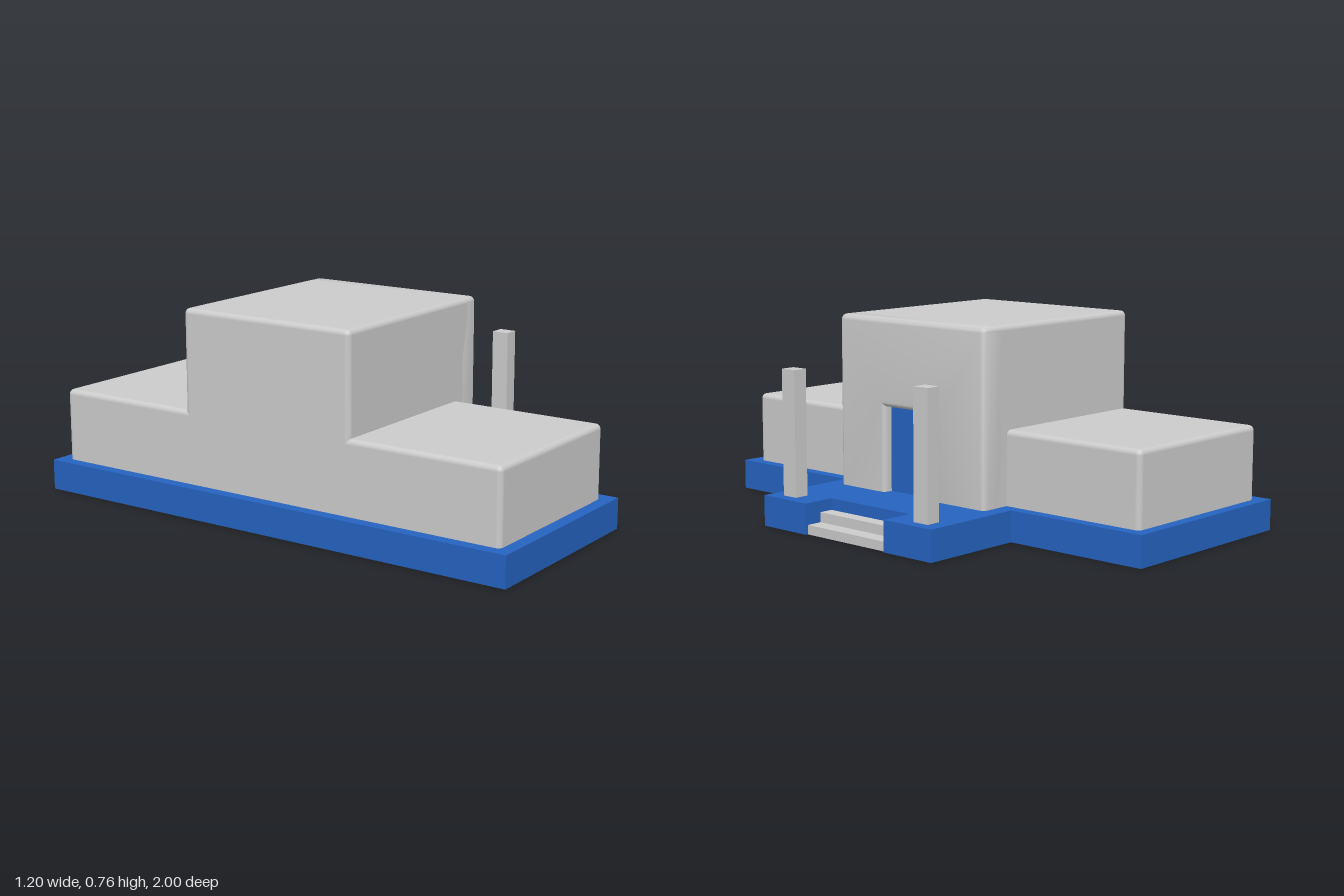
import * as THREE from 'three';
import { RoundedBoxGeometry } from 'three/addons/geometries/RoundedBoxGeometry.js';
import { toCreasedNormals } from 'three/addons/utils/BufferGeometryUtils.js';

const MID = -0.008; // z of the entrance axis
const FLOOR = 0.115; // top of the plinth
const SUNK = 0.08; // blocks start inside the plinth
const R = 0.02; // edge rounding

export function createModel() {
  const model = new THREE.Group();
  const grey = new THREE.MeshStandardMaterial({ color: 0xcccccc });
  const blue = new THREE.MeshStandardMaterial({ color: 0x2563c0 });

  const add = (name, geometry, material = grey) => {
    const mesh = new THREE.Mesh(geometry, material);
    mesh.name = name;
    model.add(mesh);
    return mesh;
  };
  // Box given by its limits, with optional rounded edges
  const block = (name, [x0, x1], [y0, y1], [z0, z1], radius = 0, material = grey) => {
    const size = [x1 - x0, y1 - y0, z1 - z0];
    const geometry = radius
      ? new RoundedBoxGeometry(...size, 4, radius)
      : new THREE.BoxGeometry(...size);
    const mesh = add(name, geometry, material);
    mesh.position.set((x0 + x1) / 2, (y0 + y1) / 2, (z0 + z1) / 2);
    return mesh;
  };

  // Plinth with the porch and its stair notch, drawn as (x, z)
  const outline = [
    [-0.6, -1], [0.185, -1], [0.185, -0.43], [0.597, -0.43], [0.597, -0.205], [0.47, -0.205],
    [0.47, 0.19], [0.597, 0.19], [0.597, 0.413], [0.185, 0.413], [0.185, 1], [-0.6, 1],
  ];
  const plan = new THREE.Shape(outline.map(([x, z]) => new THREE.Vector2(x, -z)));
  const plinth = new THREE.ExtrudeGeometry(plan, { depth: FLOOR, bevelEnabled: false });
  add('plinth', plinth.rotateX(-Math.PI / 2), blue);

  // Low side wings
  block('leftWing', [-0.555, 0.14], [SUNK, 0.39], [0.3, 0.952], R);
  block('rightWing', [-0.555, 0.14], [SUNK, 0.39], [-0.957, -0.3], R);

  // Tall central hall
  const W = 0.362, H = 0.765, DOOR = 0.13, DOOR_TOP = 0.435, C = 0.022;
  block('hall', [-0.555, 0.22], [SUNK, H], [MID - W, MID + W], R);

  // Front wall of the hall, with the doorway cut out of it
  const wall = new THREE.Shape();
  wall.moveTo(-W, SUNK);
  wall.lineTo(-DOOR, SUNK);
  wall.lineTo(-DOOR, DOOR_TOP);
  wall.lineTo(DOOR, DOOR_TOP);
  wall.lineTo(DOOR, SUNK);
  wall.lineTo(W, SUNK);
  wall.lineTo(W, H - C);
  wall.absarc(W - C, H - C, C, 0, Math.PI / 2, false);
  wall.lineTo(-W + C, H);
  wall.absarc(-W + C, H - C, C, Math.PI / 2, Math.PI, false);
  wall.closePath();
  const front = new THREE.ExtrudeGeometry(wall, {
    depth: 0.07, bevelThickness: R, bevelSize: R, bevelOffset: -R, bevelSegments: 4, curveSegments: 5,
  });
  const wallMesh = add('frontWall', toCreasedNormals(front.rotateY(Math.PI / 2), 0.6));
  wallMesh.position.set(0.262 - 0.07 - R, 0, MID);

  // Recessed door
  block('door', [0.2, 0.225], [SUNK, 0.455], [MID - 0.145, MID + 0.145], 0, blue);

  // Porch posts
  for (const [name, side] of [['leftPost', 1], ['rightPost', -1]]) {
    const z = MID + side * 0.331;
    block(name, [0.495, 0.552], [0.1, 0.585], [z - 0.033, z + 0.033]);
  }

  // Entrance steps
  block('lowerStep', [0.525, 0.587], [0, 0.035], [-0.205, 0.19]);
  block('upperStep', [0.47, 0.525], [0, 0.072], [-0.205, 0.19]);

  return model;
}
